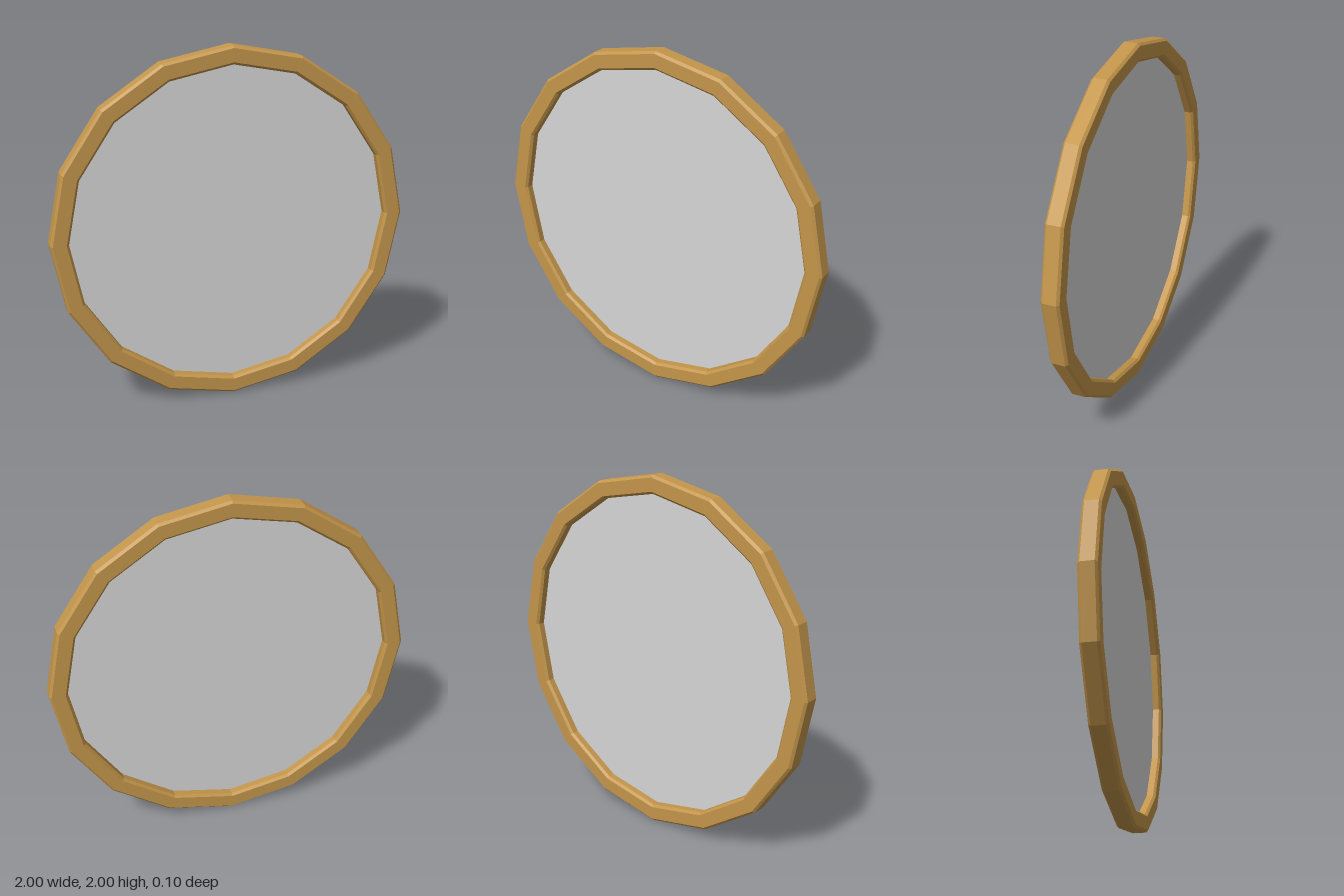
import * as THREE from 'three';

const SIDES = 16;

export function createModel() {
  const group = new THREE.Group();
  const brass = new THREE.MeshStandardMaterial({ color: 0xc4964b, flatShading: true });
  brass.name = 'brass';
  const glass = new THREE.MeshStandardMaterial({ color: 0xd6d6d6, side: THREE.DoubleSide });
  glass.name = 'glass';

  // Ring: a bevelled square section turned around the z axis
  const inner = 0.9, outer = 1, half = 0.05, bevel = 0.013;
  const profile = [
    [inner + bevel, -half], [outer - bevel, -half],
    [outer, -half + bevel], [outer, half - bevel],
    [outer - bevel, half], [inner + bevel, half],
    [inner, half - bevel], [inner, -half + bevel],
    [inner + bevel, -half],
  ].map(([r, y]) => new THREE.Vector2(r, y));
  const frame = new THREE.Mesh(new THREE.LatheGeometry(profile, SIDES).rotateX(Math.PI / 2), brass);
  frame.name = 'frame';

  // Thin pane set in the middle of the ring, seen from both sides
  const pane = new THREE.Mesh(new THREE.CircleGeometry(inner + 0.01, SIDES), glass);
  pane.name = 'pane';

  group.add(frame, pane);
  group.position.y = 1;
  const model = new THREE.Group();
  model.name = 'roundWindow';
  model.add(group);
  return model;
}
